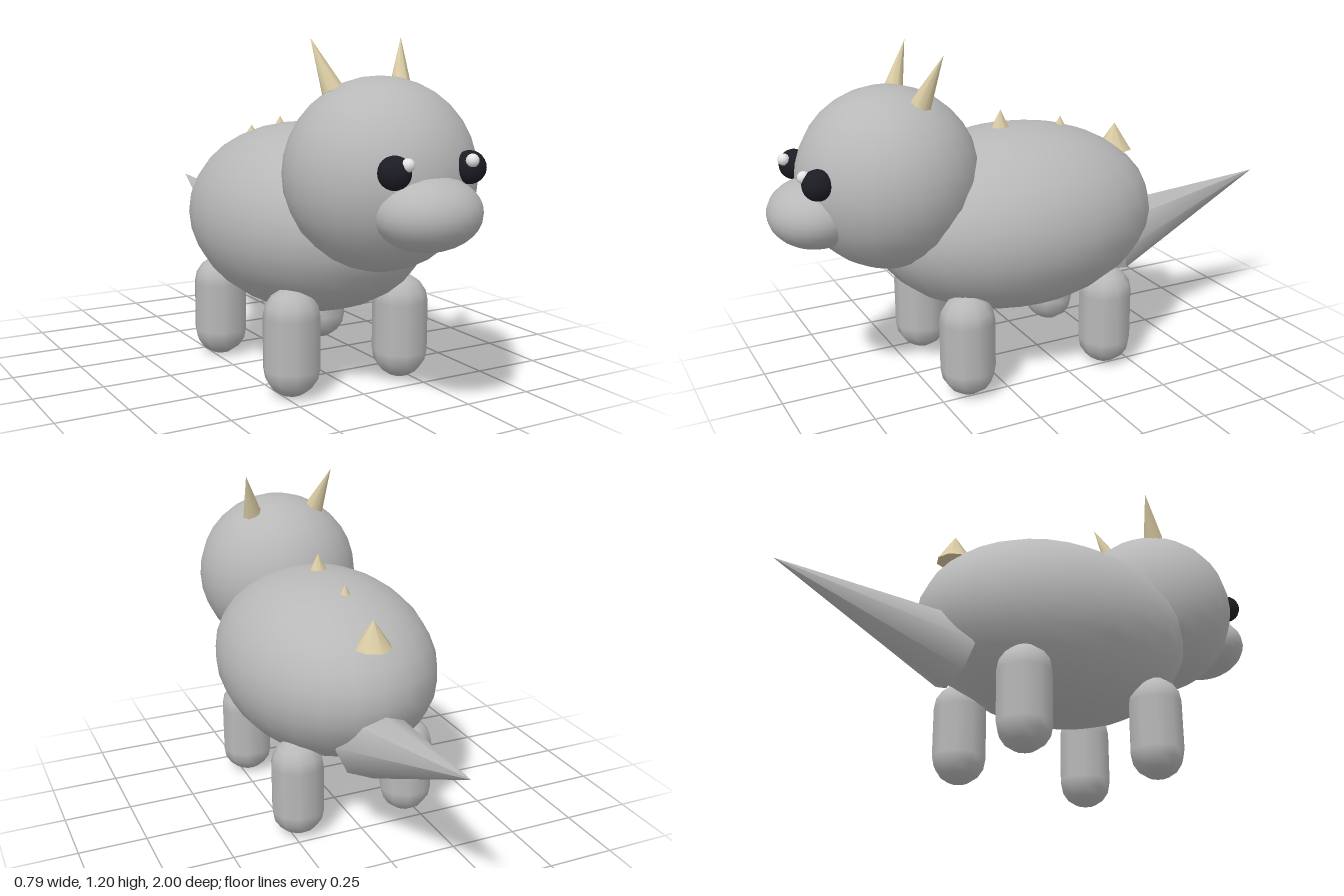
import * as THREE from 'three';

export function createModel() {
  const model = new THREE.Group();
  model.name = 'hornedCreature';

  const skin = new THREE.MeshStandardMaterial({ name: 'grey skin', color: 0xb8b8b8 });
  const horn = new THREE.MeshStandardMaterial({ name: 'pale horn', color: 0xd9cba3 });
  const eyeDark = new THREE.MeshStandardMaterial({ name: 'dark eye', color: 0x1c1c24 });
  const eyeLight = new THREE.MeshStandardMaterial({ name: 'eye glint', color: 0xffffff });

  const add = (name, geometry, material) => {
    const mesh = new THREE.Mesh(geometry, material);
    mesh.name = name;
    model.add(mesh);
    return mesh;
  };

  // Sphere stretched to the given radii
  const ellipsoid = (name, center, radii, material, segs = 24, rings = 16) => {
    const g = new THREE.SphereGeometry(1, segs, rings);
    g.scale(...radii);
    return add(name, g.translate(...center), material);
  };

  // Cone from the centre of its base to its tip
  const spike = (name, base, tip, radius, material, segs = 8) => {
    const from = new THREE.Vector3(...base);
    const axis = new THREE.Vector3(...tip).sub(from);
    const length = axis.length();
    const g = new THREE.ConeGeometry(radius, length, segs).translate(0, length / 2, 0);
    const mesh = add(name, g, material);
    mesh.position.copy(from);
    mesh.quaternion.setFromUnitVectors(new THREE.Vector3(0, 1, 0), axis.normalize());
    return mesh;
  };

  // Body, head and snout
  ellipsoid('body', [0, 0.56, 0.1], [0.396, 0.336, 0.54], skin);
  ellipsoid('head', [0, 0.767, 0.577], [0.316, 0.316, 0.316], skin);
  ellipsoid('snout', [0, 0.68, 0.84], [0.177, 0.119, 0.158], skin, 24, 16);

  // Tail, tilted 15 degrees upward
  const tilt = Math.PI / 12, tailLength = 0.71;
  const tip = [0, 0.573, -0.997];
  const tailBase = [0, tip[1] - tailLength * Math.sin(tilt), tip[2] + tailLength * Math.cos(tilt)];
  spike('tail', tailBase, tip, 0.138, skin);

  // Paired parts
  for (const [side, s] of [['left', 1], ['right', -1]]) {
    ellipsoid(side + 'Eye', [s * 0.138, 0.814, 0.863], [0.052, 0.052, 0.052], eyeDark, 16, 12);
    ellipsoid(side + 'EyeGlint', [s * 0.118, 0.84, 0.902], [0.021, 0.021, 0.021], eyeLight, 12, 8);
    spike(side + 'Horn', [s * 0.13, 1.033, 0.5], [s * 0.175, 1.2, 0.433], 0.038, horn);

    // Rounded stub legs
    for (const [end, z] of [['Front', 0.39], ['Back', -0.168]]) {
      const leg = add(side + end + 'Leg', new THREE.CapsuleGeometry(0.098, 0.18, 4, 10), skin);
      leg.position.set(s * 0.22, 0.188, z);
    }
  }

  // Upright spikes along the back: z, base height, tip height, radius
  [[0.148, 0.868, 0.954, 0.044], [-0.095, 0.85, 0.904, 0.03], [-0.33, 0.75, 0.851, 0.067]]
    .forEach(([z, y0, y1, r], i) => spike('backSpike' + (i + 1), [0, y0, z], [0, y1, z], r, horn));

  return model;
}
